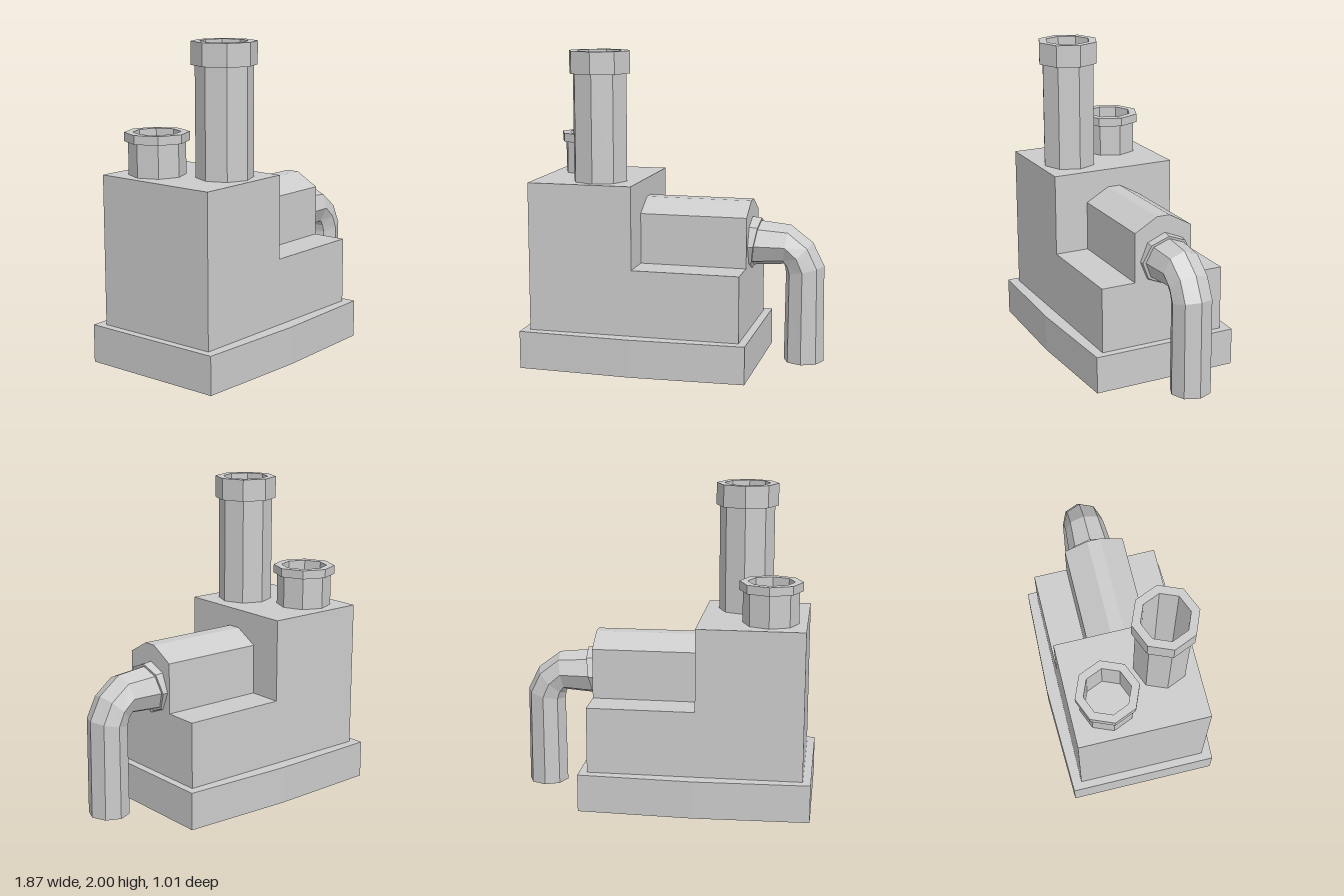
import * as THREE from 'three';

const material = new THREE.MeshStandardMaterial({ color: 0xcccccc, flatShading: true });

function mesh(name, geometry) {
  const m = new THREE.Mesh(geometry, material);
  m.name = name;
  return m;
}

// Prism made by extruding a 2D outline along +z
function prism(points, depth) {
  const shape = new THREE.Shape(points.map(([x, y]) => new THREE.Vector2(x, y)));
  return new THREE.ExtrudeGeometry(shape, { depth, bevelEnabled: false });
}

// Eight-sided skin through rings given as [topX, topY, bottomX, bottomY, halfWidth]
function loft(sections, zCentre, sides = 8) {
  const positions = [];
  const tri = (...pts) => pts.forEach((p) => positions.push(...p));
  const centre = ([tx, ty, bx, by]) => [(tx + bx) / 2, (ty + by) / 2, zCentre];
  const rings = sections.map((s) => {
    const [cx, cy] = centre(s);
    return Array.from({ length: sides }, (_, k) => {
      const a = (k / sides) * Math.PI * 2;
      return [
        cx + (s[0] - cx) * Math.cos(a),
        cy + (s[1] - cy) * Math.cos(a),
        zCentre + s[4] * Math.sin(a),
      ];
    });
  });
  const last = rings.length - 1;
  for (let k = 0; k < sides; k++) {
    const n = (k + 1) % sides;
    for (let i = 0; i < last; i++) {
      const [a, b, c, d] = [rings[i][k], rings[i][n], rings[i + 1][n], rings[i + 1][k]];
      tri(a, b, d);
      tri(b, c, d);
    }
    tri(centre(sections[0]), rings[0][n], rings[0][k]);
    tri(centre(sections[last]), rings[last][k], rings[last][n]);
  }
  const geometry = new THREE.BufferGeometry();
  geometry.setAttribute('position', new THREE.Float32BufferAttribute(positions, 3));
  geometry.computeVertexNormals();
  return geometry;
}

// Hollow octagonal chimney with a wider rim
function chimney(name, x, z, rimY, topY) {
  const foot = 1.185;
  const profile = [
    [0.175, foot], [0.175, rimY], [0.198, rimY],
    [0.198, topY], [0.146, topY], [0.146, foot],
  ].map(([r, y]) => new THREE.Vector2(r, y));
  const m = mesh(name, new THREE.LatheGeometry(profile, 8));
  m.position.set(x, 0, z);
  return m;
}

export function createModel() {
  const model = new THREE.Group();
  model.name = 'boilerHouse';

  // Plinth with slightly bowed long sides
  const plinth = prism([
    [-0.935, -0.476], [-0.21, -0.502], [0.515, -0.476],
    [0.515, 0.48], [-0.21, 0.505], [-0.935, 0.48],
  ], 0.24);
  plinth.rotateX(-Math.PI / 2);
  model.add(mesh('plinth', plinth));

  // Stepped main block
  const block = prism([
    [-0.885, 0.24], [0.465, 0.24], [0.465, 0.66],
    [-0.215, 0.66], [-0.215, 1.185], [-0.885, 1.185],
  ], 0.835);
  block.translate(0, 0, -0.42);
  model.add(mesh('mainBlock', block));

  // Boiler housing with a chamfered roof, lying along x
  const housing = prism([
    [-0.192, 0.66], [0.197, 0.66], [0.197, 0.98],
    [0.045, 1.065], [-0.041, 1.065], [-0.192, 0.98],
  ], 0.68);
  housing.rotateY(Math.PI / 2);
  housing.translate(-0.215, 0, 0);
  model.add(mesh('boilerHousing', housing));

  // Chimneys
  model.add(chimney('tallChimney', -0.475, 0.198, 1.86, 2));
  model.add(chimney('shortChimney', -0.657, -0.182, 1.39, 1.445));

  // Tilted collar and the bent outlet pipe
  model.add(mesh('pipeCollar', loft([
    [0.462, 0.957, 0.462, 0.62, 0.167],
    [0.525, 0.95, 0.472, 0.632, 0.167],
  ], -0.012)));
  model.add(mesh('outletPipe', loft([
    [0.515, 0.934, 0.47, 0.645, 0.148],
    [0.71, 0.914, 0.67, 0.66, 0.132],
    [0.852, 0.806, 0.677, 0.636, 0.13],
    [0.925, 0.66, 0.682, 0.605, 0.13],
    [0.93, 0.04, 0.676, 0.04, 0.13],
  ], -0.014)));

  return model;
}
